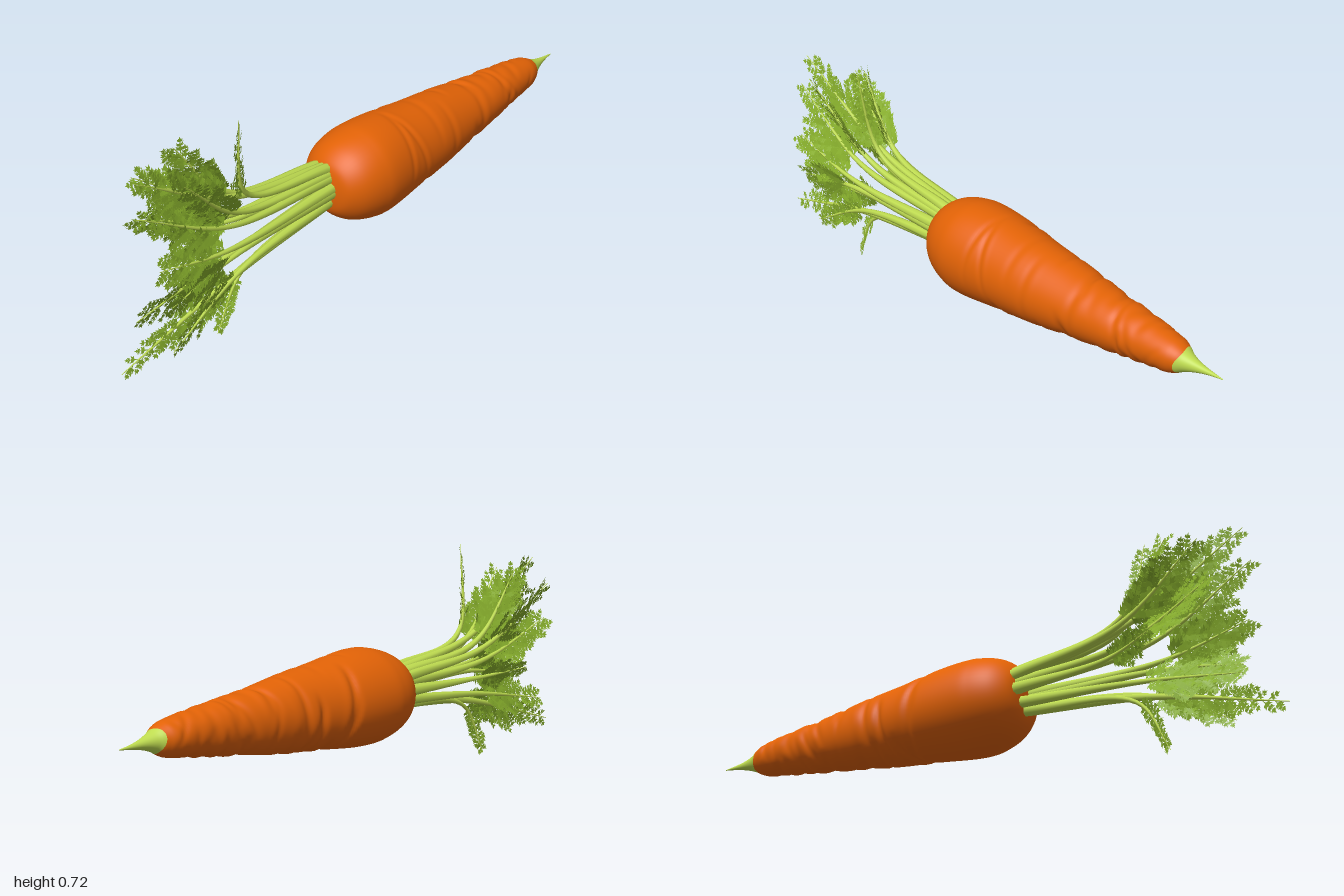
import * as THREE from 'three';
import { mergeVertices } from 'three/addons/utils/BufferGeometryUtils.js';

const V = (x, y, z) => new THREE.Vector3(x, y, z);

function seeded(seed) {
  return () => {
    seed = (seed * 16807) % 2147483647;
    return seed / 2147483647;
  };
}

// Root profile: position along x, radius
const profile = new THREE.SplineCurve([
  [-0.16, 0], [-0.157, 0.05], [-0.142, 0.09], [-0.1, 0.126], [-0.04, 0.146], [0.03, 0.15],
  [0.2, 0.134], [0.4, 0.11], [0.6, 0.084], [0.8, 0.058], [0.85, 0.044], [0.875, 0.03],
  [0.91, 0.017], [0.95, 0.008], [1, 0.001],
].map(([x, r]) => new THREE.Vector2(x, r)));

// Short creases running partly around the root
const rand = seeded(77);
const creases = Array.from({ length: 50 }, () => ({
  x: 0.08 + 0.76 * Math.sqrt(rand()),
  angle: rand() * Math.PI * 2,
  depth: 0.015 + 0.035 * rand(),
  slant: (rand() - 0.5) * 0.08,
  width: 0.009 + 0.008 * rand(),
}));

function wrinkle(x, a) {
  let s = 1 + 0.01 * Math.sin(x * 21 + Math.sin(a) * 1.5) + 0.01 * Math.sin(3 * a + x * 6);
  for (const c of creases) {
    const reach = Math.cos(a - c.angle) - 0.5;
    if (reach <= 0) continue;
    const d = (x - c.x - c.slant * Math.sin(a - c.angle)) / c.width;
    s -= c.depth * Math.min(1, reach * 2.5) * (Math.exp(-d * d) - 0.3 * Math.exp(-((d - 2) ** 2)));
  }
  return s;
}

// Wavy border between the orange root and its green tip
const border = (a) => 0.886 + 0.006 * Math.sin(2 * a + 0.6);

function loftRoot(rings, isTip) {
  const g = new THREE.CylinderGeometry(1, 1, 1, 56, rings, true).rotateZ(-Math.PI / 2);
  g.deleteAttribute('uv');
  g.deleteAttribute('normal');
  const p = g.attributes.position;
  for (let i = 0; i < p.count; i++) {
    const k = THREE.MathUtils.clamp(p.getX(i) + 0.5, 0, 1);
    const a = Math.atan2(p.getZ(i), p.getY(i));
    const u = isTip ? THREE.MathUtils.lerp(border(a), 1, k) : border(a) * k;
    const { x, y: radius } = profile.getPointAt(u);
    const r = radius * (x < 0.93 ? wrinkle(x, a) : 1);
    const cz = 0.008 * (1 - THREE.MathUtils.smoothstep(x, 0.85, 1));
    const cy = 0.299 + 0.006 * THREE.MathUtils.smoothstep(x, 0.4, 0.8);
    p.setXYZ(i, x, cy + r * Math.cos(a), cz + r * Math.sin(a) * 1.015);
  }
  const merged = mergeVertices(g, 1e-5);
  merged.computeVertexNormals();
  return merged;
}

// Tapered stalk along a curve
function stalk(curve, r0) {
  const rings = 26, sides = 8;
  const g = new THREE.TubeGeometry(curve, rings, 1, sides);
  const p = g.attributes.position, v = V(0, 0, 0);
  for (let i = 0; i < p.count; i++) {
    const t = Math.floor(i / (sides + 1)) / rings;
    const c = curve.getPointAt(t);
    const r = r0 * (0.05 + 0.95 * Math.pow(1 - t, 1.1));
    v.fromBufferAttribute(p, i).sub(c).multiplyScalar(r).add(c);
    p.setXYZ(i, v.x, v.y, v.z);
  }
  return g;
}

// Kite-shaped blade: base, direction, side, length, half width
function kite(out, o, d, s, len, half) {
  const mid = o.clone().addScaledVector(d, len * 0.45);
  const l = mid.clone().addScaledVector(s, half), r = mid.clone().addScaledVector(s, -half);
  const tip = o.clone().addScaledVector(d, len);
  for (const q of [o, r, tip, o, tip, l]) out.push(q.x, q.y, q.z);
}

// Leaflet with one main blade and two side lobes
function leaflet(out, o, d, s, len) {
  kite(out, o, d, s, len, len * 0.17);
  for (const side of [-1, 1]) {
    const ld = d.clone().multiplyScalar(0.85).addScaledVector(s, side * 0.53);
    const ls = s.clone().multiplyScalar(0.85).addScaledVector(d, -side * 0.53);
    kite(out, o.clone().addScaledVector(d, len * 0.2), ld, ls, len * 0.55, len * 0.11);
  }
}

// Feathery twice-divided frond on the outer half of a stalk
function frond(curve, width, roll, rnd) {
  const out = [], pairs = 10;
  for (let i = 0; i < pairs; i++) {
    const u = i / pairs, t = 0.53 + 0.45 * u;
    const T = curve.getTangent(t);
    const N = V(0, 0, 1).addScaledVector(T, -T.z).normalize().applyAxisAngle(T, roll);
    const S = N.clone().cross(T);
    for (const side of [-1, 1]) {
      const o = curve.getPoint(t + 0.012 * side);
      const len = width * (0.18 + 0.82 * Math.pow(1 - u, 0.65)) * (0.75 + 0.4 * rnd());
      const D = T.clone().multiplyScalar(0.85).addScaledVector(S, side * 0.53)
        .addScaledVector(N, (rnd() - 0.5) * 0.4).normalize();
      const S2 = N.clone().cross(D).normalize();
      kite(out, o, D, S2, len, 0.0025);
      const steps = Math.max(2, Math.round(len / 0.016));
      for (let j = 1; j <= steps; j++) {
        const k = j / (steps + 0.6);
        const base = o.clone().addScaledVector(D, len * k);
        const size = (0.015 + len * 0.2) * (1.1 - 0.6 * k);
        for (const sub of [-1, 1]) {
          const d = D.clone().multiplyScalar(0.8).addScaledVector(S2, sub * 0.6)
            .addScaledVector(N, (rnd() - 0.5) * 0.4).normalize();
          leaflet(out, base, d, N.clone().cross(d).normalize(), size);
        }
      }
      leaflet(out, o.clone().addScaledVector(D, len * 0.85), D, S2, 0.012 + len * 0.12);
    }
  }
  const g = new THREE.BufferGeometry();
  g.setAttribute('position', new THREE.Float32BufferAttribute(out, 3));
  g.computeVertexNormals();
  return g;
}

// Stalk middle, tip, frond width and roll
const fronds = [
  [[-0.49, 0.44, 0.01], [-0.55, 0.72, 0.05], 0.075, 0.6],
  [[-0.52, 0.43, -0.02], [-0.89, 0.65, 0.0], 0.13, 0.25],
  [[-0.5, 0.42, -0.06], [-0.68, 0.64, -0.08], 0.13, -0.5],
  [[-0.52, 0.4, -0.08], [-0.8, 0.58, -0.125], 0.13, 0.5],
  [[-0.53, 0.4, 0.02], [-0.78, 0.62, 0.07], 0.12, -0.45],
  [[-0.58, 0.38, 0.03], [-0.9, 0.55, 0.02], 0.13, 0.3],
  [[-0.54, 0.35, -0.06], [-0.82, 0.46, -0.1], 0.13, -0.4],
  [[-0.6, 0.32, 0.05], [-0.87, 0.38, 0.05], 0.13, 0.3],
  [[-0.6, 0.29, 0.05], [-0.84, 0.25, 0.06], 0.13, -0.35],
  [[-0.47, 0.3, -0.08], [-0.65, 0.32, -0.15], 0.08, 0.4],
  [[-0.56, 0.2, 0.02], [-0.99, 0.075, 0.0], 0.11, 0.2],
  [[-0.55, 0.23, -0.03], [-0.88, 0.17, -0.05], 0.12, -0.3],
  [[-0.52, 0.19, 0.01], [-0.625, 0.015, 0.005], 0.05, 0.45],
  [[-0.55, 0.21, 0.03], [-0.82, 0.07, 0.03], 0.09, -0.2],
];

export function createModel() {
  const material = (name, color, extra) => Object.assign(new THREE.MeshStandardMaterial({ color, ...extra }), { name });
  const orange = material('carrot orange', 0xe26206);
  const pale = material('pale green', 0xbedb50);
  const green = material('leaf green', 0x89b12d, { side: THREE.DoubleSide });

  const model = new THREE.Group();
  model.name = 'carrot';
  const add = (parent, name, geometry, mat) => {
    const mesh = new THREE.Mesh(geometry, mat);
    mesh.name = name;
    parent.add(mesh);
  };

  add(model, 'root', loftRoot(190, false), orange);
  add(model, 'rootTip', loftRoot(24, true), pale);

  // Leafy top
  const top = new THREE.Group();
  top.name = 'leafyTop';
  model.add(top);
  const rnd = seeded(4321);
  fronds.forEach(([mid, tip, width, roll], i) => {
    const base = V(-0.14, 0.305 + (mid[1] - 0.31) * 0.45, mid[2] * 0.6);
    const curve = new THREE.CatmullRomCurve3([base, V(...mid), V(...tip)]);
    add(top, `stalk${i + 1}`, stalk(curve, 0.018 + 0.004 * rnd()), pale);
    add(top, `frond${i + 1}`, frond(curve, width, roll, rnd), green);
  });
  return model;
}
